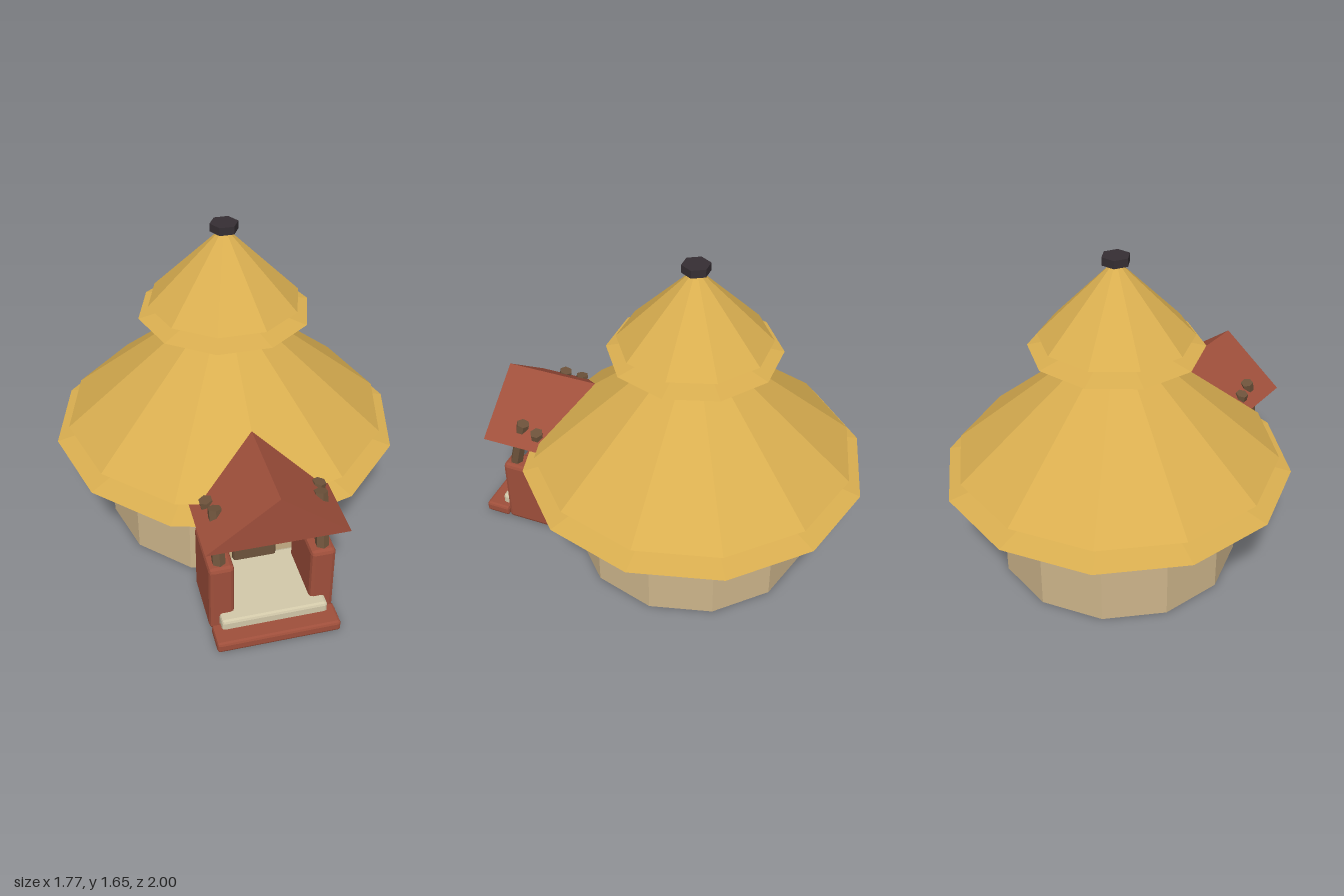
import * as THREE from 'three';
import { RoundedBoxGeometry } from 'three/addons/geometries/RoundedBoxGeometry.js';

const HUT_Z = -0.115; // centre of the round hut

function paint(name, color) {
  const m = new THREE.MeshStandardMaterial({ color, flatShading: true });
  m.name = name;
  return m;
}

export function createModel() {
  const model = new THREE.Group();
  model.name = 'roundHut';

  const straw = paint('straw', 0xd9ae50);
  const plaster = paint('plaster', 0xccb48a);
  const red = paint('redClay', 0x9f4f3b);
  const wood = paint('wood', 0x6e533b);
  const cream = paint('creamStone', 0xd2c8a9);
  const dark = paint('darkCap', 0x352e33);

  function add(name, geometry, material, parent = model) {
    const mesh = new THREE.Mesh(geometry, material);
    mesh.name = name;
    parent.add(mesh);
    return mesh;
  }

  // Faceted ring, cone or drum around the hut axis, with a corner on +x
  function tier(name, rBottom, rTop, y0, y1, sides, material) {
    const g = new THREE.CylinderGeometry(rTop, rBottom, y1 - y0, sides, 1, false, Math.PI / 2);
    g.translate(0, (y0 + y1) / 2, HUT_Z);
    return add(name, g, material);
  }

  // Chamfered block given by its limits
  function block(name, x0, x1, y0, y1, z0, z1, bevel, material) {
    const g = new RoundedBoxGeometry(x1 - x0, y1 - y0, z1 - z0, 1, bevel);
    g.translate((x0 + x1) / 2, (y0 + y1) / 2, (z0 + z1) / 2);
    return add(name, g, material);
  }

  // Hexagonal pole between two points
  function pole(name, from, to, radius) {
    const a = new THREE.Vector3(...from);
    const b = new THREE.Vector3(...to);
    const dir = b.clone().sub(a);
    const mesh = add(name, new THREE.CylinderGeometry(radius, radius, dir.length(), 6), wood);
    mesh.position.copy(a).add(b).multiplyScalar(0.5);
    mesh.quaternion.setFromUnitVectors(new THREE.Vector3(0, 1, 0), dir.normalize());
  }

  // Round wall and two-layer main thatch
  tier('wall', 0.62, 0.62, 0, 0.62, 12, plaster);
  tier('lowerEave', 0.885, 0.6, 0.52, 0.588, 12, straw);
  tier('mainRoof', 0.82, 0.18, 0.6, 1.14, 12, straw);

  // Neck and upper thatch
  tier('neckBand', 0.285, 0.285, 1.12, 1.225, 12, red);
  tier('neckBandRim', 0.285, 0.26, 1.225, 1.24, 12, red);
  tier('upperEave', 0.43, 0.22, 1.19, 1.235, 10, straw);
  tier('neckCore', 0.2, 0.2, 1.2, 1.255, 10, straw);
  tier('upperRoof', 0.38, 0.005, 1.25, 1.63, 10, straw);
  tier('roofCap', 0.07, 0.07, 1.615, 1.655, 6, dark);

  // Door and steps
  block('door', -0.11, 0.11, 0.01, 0.415, 0.487, 0.532, 0.012, wood);
  block('upperStep', -0.26, 0.26, 0.008, 0.107, 0.5, 0.915, 0.015, cream);
  block('lowerStep', -0.302, 0.302, 0.0, 0.057, 0.865, 1.0, 0.014, red);

  // Porch side walls and poles, mirrored
  for (const s of [-1, 1]) {
    const side = s > 0 ? 'left' : 'right';
    block(side + 'PorchWall', Math.min(s * 0.185, s * 0.307), Math.max(s * 0.185, s * 0.307),
      0.008, 0.393, 0.53, 0.857, 0.02, red);
    pole(side + 'BackPole', [s * 0.218, 0.35, 0.658], [s * 0.275, 0.645, 0.648], 0.034);
    pole(side + 'FrontPole', [s * 0.25, 0.35, 0.812], [s * 0.252, 0.665, 0.735], 0.034);
  }

  // Gabled porch roof
  const gable = new THREE.Shape([
    new THREE.Vector2(-0.34, 0.57),
    new THREE.Vector2(0.34, 0.57),
    new THREE.Vector2(0, 0.83),
  ]);
  const gableGeometry = new THREE.ExtrudeGeometry(gable, { depth: 0.51, bevelEnabled: false });
  gableGeometry.translate(0, 0, 0.42);
  add('porchRoof', gableGeometry, red);

  return model;
}
